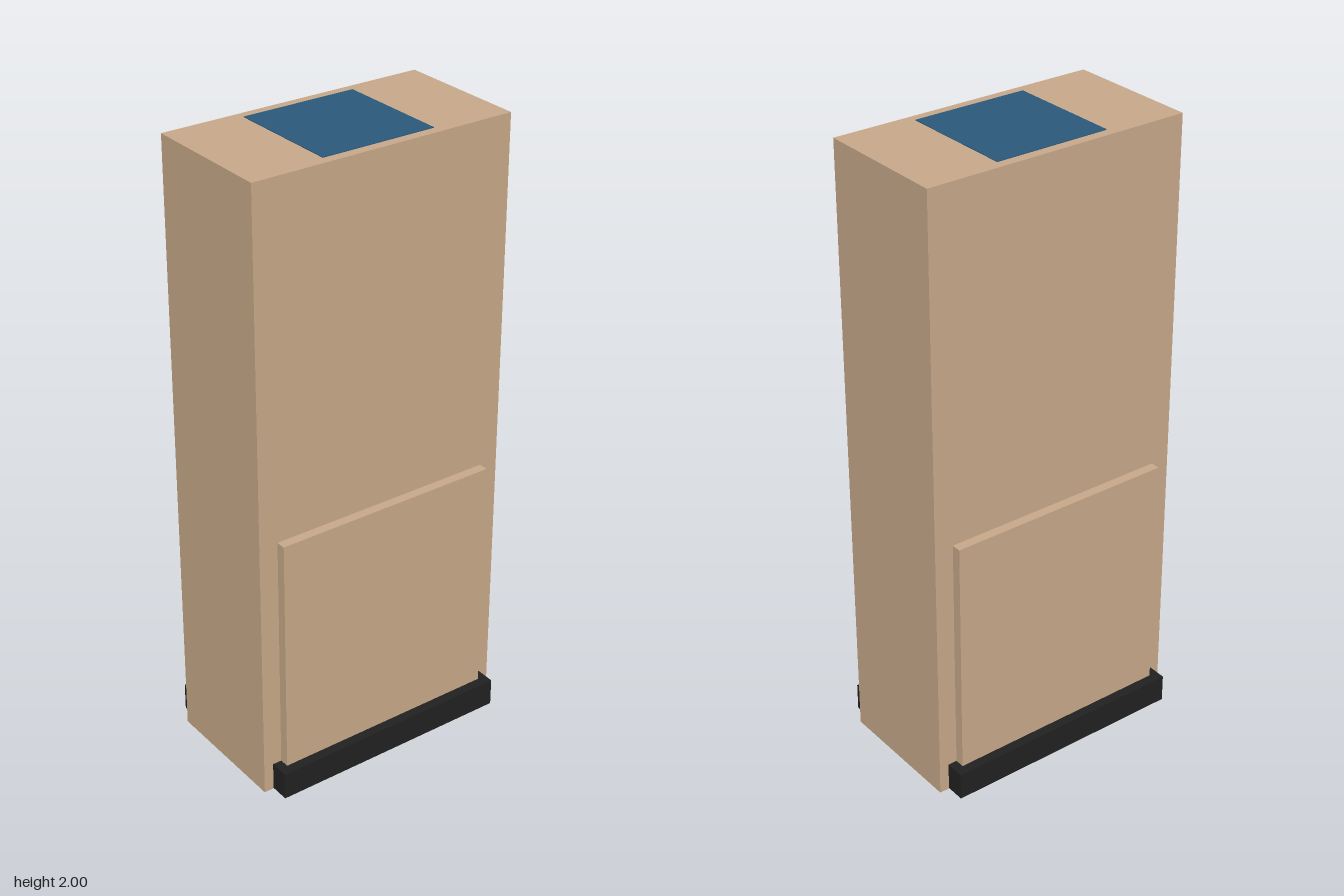
import * as THREE from 'three';

function flat(name, hex) {
  const m = new THREE.MeshStandardMaterial({ color: hex });
  m.name = name;
  return m;
}

export function createModel() {
  const model = new THREE.Group();
  model.name = 'pillar';
  const tan = flat('tan', 0xc7a989);
  const blue = flat('blue', 0x2a587b);
  const black = flat('black', 0x212121);

  // box given by its width, depth and vertical extent, centred on the axis
  const block = (name, material, width, depth, bottom, top) => {
    const mesh = new THREE.Mesh(new THREE.BoxGeometry(width, top - bottom, depth), material);
    mesh.name = name;
    mesh.position.y = (bottom + top) / 2;
    model.add(mesh);
  };

  // tall main shaft
  block('shaft', tan, 0.875, 0.4375, 0.002, 1.998);
  // raised panels on the front and back, one slab through the shaft
  block('raisedPanels', tan, 0.75, 0.5, 0.004, 0.88);
  // dark kick strips along the front and back feet
  block('kickStrips', black, 0.81, 0.5625, 0.004, 0.095);
  // square inlays, just proud of the top and underside
  block('topInlay', blue, 0.375, 0.375, 1.994, 2);
  block('bottomInlay', blue, 0.375, 0.375, 0, 0.006);

  return model;
}
